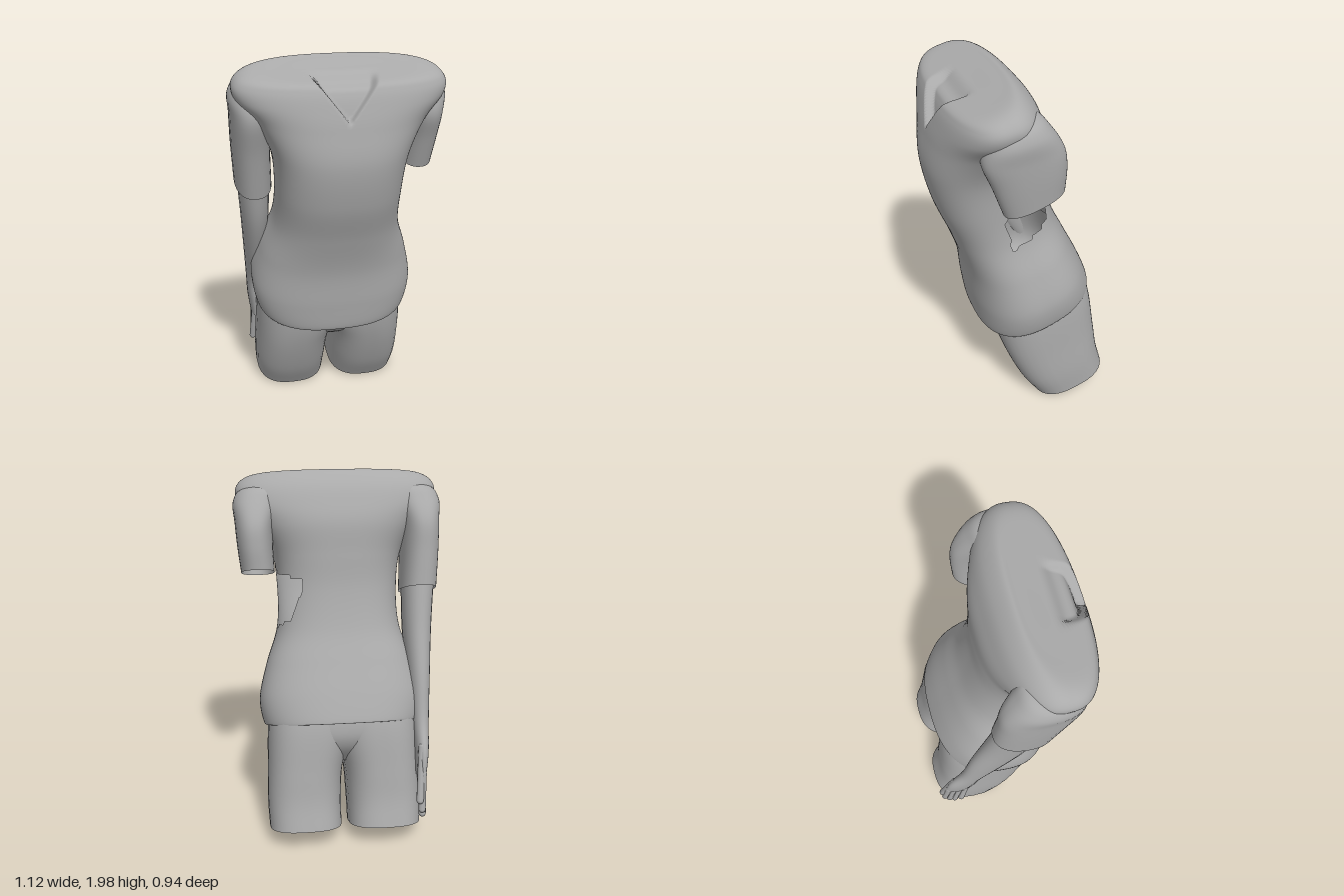
import * as THREE from 'three';

const grey = new THREE.MeshStandardMaterial({ color: 0xaaaaaa, side: THREE.DoubleSide });
grey.name = 'plainGrey';

// Smooth loft through tilted rounded sections, listed bottom to top:
// [centreX, halfWidth, frontZ, frontY, backZ, backY]
function loft(name, sections, { n = 48, steps = 6, p = 0.8, cap = false, warp, skip } = {}) {
  const front = new THREE.CatmullRomCurve3(sections.map(s => new THREE.Vector3(s[0], s[3], s[2])));
  const back = new THREE.CatmullRomCurve3(sections.map(s => new THREE.Vector3(s[1], s[5], s[4])));
  front.curveType = back.curveType = 'catmullrom';
  const rings = (sections.length - 1) * steps;
  const pos = [], idx = [], pts = [];
  const power = v => Math.sign(v) * Math.abs(v) ** p;
  for (let i = 0; i <= rings; i++) {
    const f = front.getPoint(i / rings), b = back.getPoint(i / rings);
    for (let j = 0; j < n; j++) {
      let a = (j / n) * Math.PI * 2;
      a += 0.3 * Math.sin(2 * a); // closer spacing at front and back
      const s = power(Math.sin(a));
      const v = new THREE.Vector3(
        f.x + b.x * power(Math.cos(a)),
        (f.y + b.y) / 2 + (s * (f.y - b.y)) / 2,
        (f.z + b.z) / 2 + (s * (f.z - b.z)) / 2);
      pts.push(v.clone());
      if (warp) warp(v);
      pos.push(v.x, v.y, v.z);
    }
  }
  for (let i = 0; i < rings; i++) {
    for (let j = 0; j < n; j++) {
      const k = (j + 1) % n;
      const a = i * n + j, b = i * n + k, c = a + n, d = b + n;
      for (const t of [[a, c, b], [b, c, d]]) {
        if (!skip || !t.every(q => skip(pts[q]))) idx.push(...t);
      }
    }
  }
  // flat cap on the lower end, with its own ring for a sharp edge
  if (cap) {
    const base = pos.length / 3, s = sections[0];
    for (let j = 0; j < n; j++) pos.push(pos[j * 3], pos[j * 3 + 1], pos[j * 3 + 2]);
    pos.push(s[0], (s[3] + s[5]) / 2, (s[2] + s[4]) / 2);
    for (let j = 0; j < n; j++) idx.push(base + n, base + j, base + (j + 1) % n);
  }
  const g = new THREE.BufferGeometry();
  g.setAttribute('position', new THREE.Float32BufferAttribute(pos, 3));
  g.setIndex(idx);
  g.computeVertexNormals();
  const mesh = new THREE.Mesh(g, grey);
  mesh.name = name;
  return mesh;
}

// Rounded finger between two points
function finger(name, from, to, radius) {
  const a = new THREE.Vector3(...from), b = new THREE.Vector3(...to);
  const dir = b.clone().sub(a);
  const mesh = new THREE.Mesh(new THREE.CapsuleGeometry(radius, dir.length() - radius, 5, 10), grey);
  mesh.position.copy(a).add(b).multiplyScalar(0.5);
  mesh.quaternion.setFromUnitVectors(new THREE.Vector3(0, 1, 0), dir.normalize());
  mesh.name = name;
  return mesh;
}

export function createModel() {
  const model = new THREE.Group();
  model.name = 'shirtedTorso';

  // Shirt body, with a sunken V neck and a torn opening in the left side
  const neck = v => {
    const inside = (v.y - 1.71 - Math.abs(v.x) * 1.27) / 1.62;
    const depth = THREE.MathUtils.smoothstep(inside, 0, 0.025) * THREE.MathUtils.smoothstep(v.z, 0.23, 0.37);
    v.z -= 0.04 * depth;
    v.y -= 0.025 * depth;
  };
  const torn = v => v.x > 0.2 && v.y < 1.46 && v.z > -0.1 &&
    v.y > 1.09 + (0.12 - v.z) * 0.55 && v.z < 0.12 + (v.y - 1.09) * 0.2;
  model.add(loft('shirtBody', [
    [0, 0.405, 0.20, 0.54, -0.37, 0.77],
    [0, 0.43, 0.235, 0.505, -0.40, 0.75],
    [0, 0.45, 0.26, 0.65, -0.345, 0.88],
    [0, 0.405, 0.285, 0.86, -0.265, 1.04],
    [0, 0.34, 0.35, 1.07, -0.19, 1.20],
    [0, 0.33, 0.43, 1.28, -0.135, 1.40],
    [0, 0.355, 0.473, 1.50, -0.115, 1.58],
    [0, 0.44, 0.455, 1.68, -0.10, 1.74],
    [0, 0.53, 0.432, 1.79, -0.06, 1.85],
    [0, 0.535, 0.41, 1.86, -0.01, 1.935],
    [0, 0.46, 0.385, 1.895, 0.06, 1.993],
    [0, 0.28, 0.32, 1.918, 0.11, 1.985],
    [0, 0, 0.21, 1.95, 0.21, 1.95],
  ], { n: 224, steps: 10, p: 0.78, warp: neck, skip: torn }));

  // Sleeves: the right one reaches lower
  const sleeve = (name, side, hem) => loft(name, [
    ...hem,
    [0.445, 0.105, 0.31, 1.70, -0.095, 1.74],
    [0.43, 0.125, 0.30, 1.80, -0.03, 1.85],
    [0.39, 0.11, 0.27, 1.865, 0.04, 1.915],
    [0.34, 0, 0.17, 1.89, 0.17, 1.89],
  ].map(s => [s[0] * side, ...s.slice(1)]), { p: 0.85 });
  model.add(sleeve('leftSleeve', 1, [
    [0.435, 0.09, 0.20, 1.405, -0.11, 1.51],
    [0.445, 0.096, 0.26, 1.57, -0.112, 1.63],
  ]));
  model.add(sleeve('rightSleeve', -1, [
    [0.435, 0.098, 0.18, 1.28, -0.135, 1.41],
    [0.445, 0.1, 0.25, 1.52, -0.115, 1.59],
  ]));

  // Right forearm and palm
  const arm = new THREE.Group();
  arm.name = 'rightArm';
  arm.add(loft('forearmAndPalm', [
    [-0.412, 0.025, -0.27, 0.37, -0.425, 0.42],
    [-0.418, 0.036, -0.23, 0.50, -0.395, 0.55],
    [-0.42, 0.044, -0.19, 0.65, -0.315, 0.70],
    [-0.42, 0.06, -0.065, 0.85, -0.255, 0.93],
    [-0.422, 0.077, 0.055, 1.09, -0.175, 1.18],
    [-0.432, 0.088, 0.13, 1.34, -0.11, 1.43],
  ], { n: 32, p: 0.95, cap: true }));
  // Fingers and thumb
  const tips = [[-0.345, 0.19], [-0.385, 0.17], [-0.415, 0.18], [-0.44, 0.22]];
  tips.forEach(([z, y], i) => arm.add(finger('finger' + (i + 1),
    [-0.412, 0.41 + i * 0.01, -0.295 - i * 0.036], [-0.405 - 0.008 * (3 - i), y, z], 0.02)));
  arm.add(finger('thumb', [-0.41, 0.58, -0.36], [-0.39, 0.28, -0.45], 0.02));
  model.add(arm);

  // Hips under the shirt, sunk between the thighs
  model.add(loft('hips', [
    [0, 0.10, 0.03, 0.37, -0.26, 0.46],
    [0, 0.30, 0.11, 0.43, -0.35, 0.59],
    [0, 0.40, 0.16, 0.52, -0.36, 0.72],
    [0, 0.38, 0.20, 0.75, -0.29, 0.95],
  ], { p: 0.75, cap: true }));

  // Thighs, cut off flat, meeting above the crotch
  for (const side of [1, -1]) {
    model.add(loft(side > 0 ? 'leftThigh' : 'rightThigh', [
      [0.22, 0.2, -0.05, 0.012, -0.47, 0.145],
      [0.222, 0.204, 0.035, 0.15, -0.43, 0.29],
      [0.212, 0.208, 0.115, 0.335, -0.405, 0.46],
      [0.18, 0.232, 0.165, 0.505, -0.37, 0.70],
      [0.17, 0.22, 0.19, 0.70, -0.30, 0.90],
    ].map(s => [s[0] * side, ...s.slice(1)]), { p: 0.75, cap: true }));
  }
  return model;
}
